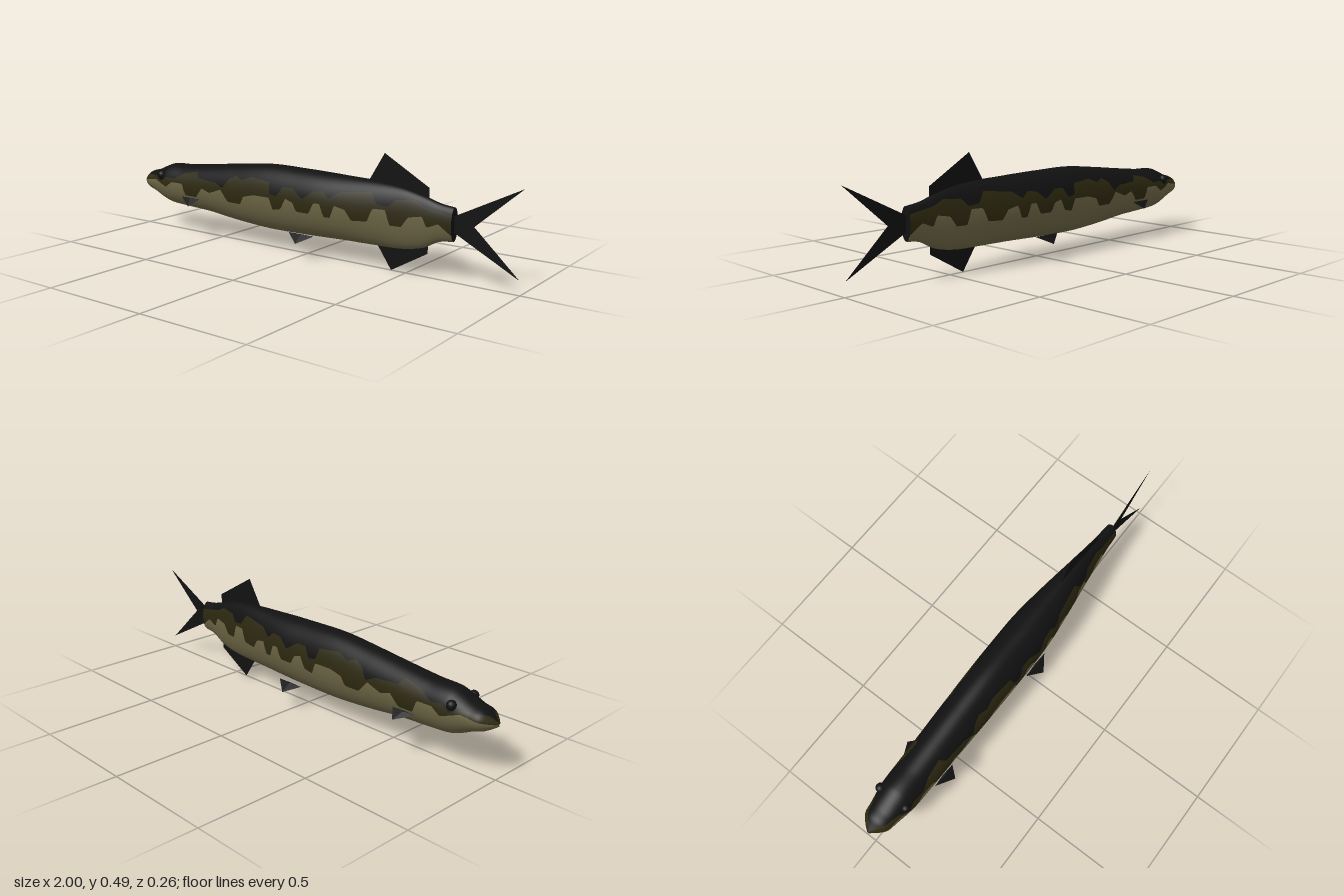
import * as THREE from 'three';
import { ConvexGeometry } from 'three/addons/geometries/ConvexGeometry.js';
import { ParametricGeometry } from 'three/addons/geometries/ParametricGeometry.js';

const X0 = -1, X1 = 0.715;

// Body outline stations: [x, top y, bottom y, half width]
const stations = [
  [-1, 0.231, 0.219, 0.004], [-0.975, 0.25, 0.202, 0.035], [-0.945, 0.271, 0.185, 0.06],
  [-0.9, 0.283, 0.169, 0.069], [-0.85, 0.304, 0.146, 0.078], [-0.8, 0.321, 0.13, 0.085],
  [-0.7, 0.326, 0.123, 0.088], [-0.55, 0.342, 0.115, 0.091], [-0.4, 0.36, 0.099, 0.095],
  [-0.2, 0.38, 0.086, 0.099], [0, 0.379, 0.088, 0.1], [0.1, 0.377, 0.091, 0.098],
  [0.2, 0.374, 0.094, 0.089], [0.35, 0.369, 0.096, 0.069], [0.48, 0.356, 0.1, 0.05],
  [0.58, 0.333, 0.12, 0.039], [0.65, 0.313, 0.155, 0.033], [0.715, 0.304, 0.166, 0.029],
];

// Lower edge of the dark back: [x, y]
const backEdge = [
  [-1, 0.245], [-0.95, 0.26], [-0.87, 0.262], [-0.83, 0.24], [-0.79, 0.267], [-0.74, 0.262],
  [-0.68, 0.294], [-0.6, 0.31], [-0.58, 0.283], [-0.47, 0.278], [-0.42, 0.257], [-0.39, 0.3],
  [-0.35, 0.32], [-0.31, 0.305], [-0.26, 0.326], [-0.15, 0.316], [-0.14, 0.267], [-0.1, 0.262],
  [-0.07, 0.305], [-0.02, 0.305], [0.04, 0.267], [0.09, 0.305], [0.14, 0.31], [0.17, 0.283],
  [0.22, 0.316], [0.36, 0.33], [0.39, 0.285], [0.44, 0.278], [0.47, 0.31], [0.55, 0.316],
  [0.6, 0.294], [0.72, 0.273],
];

// Upper edge of the pale belly: [x, y]
const bellyEdge = [
  [-1, 0.225], [-0.87, 0.246], [-0.79, 0.219], [-0.75, 0.246], [-0.68, 0.246], [-0.66, 0.193],
  [-0.59, 0.193], [-0.55, 0.24], [-0.5, 0.225], [-0.43, 0.25], [-0.385, 0.198], [-0.31, 0.198],
  [-0.29, 0.235], [-0.23, 0.25], [-0.14, 0.25], [-0.12, 0.198], [-0.075, 0.208], [-0.05, 0.257],
  [-0.01, 0.246], [0.01, 0.208], [0.075, 0.208], [0.1, 0.257], [0.13, 0.257], [0.15, 0.203],
  [0.18, 0.203], [0.2, 0.257], [0.25, 0.246], [0.28, 0.203], [0.35, 0.208], [0.375, 0.265],
  [0.43, 0.265], [0.45, 0.203], [0.5, 0.203], [0.53, 0.246], [0.59, 0.257], [0.61, 0.214],
  [0.66, 0.235], [0.72, 0.19],
];

// Interpolate column k of a table at x, straight or as a smooth cubic
function sample(table, x, k, smooth) {
  let i = 0;
  while (i < table.length - 2 && x > table[i + 1][0]) i++;
  const a = table[i], b = table[i + 1], h = b[0] - a[0];
  const t = THREE.MathUtils.clamp((x - a[0]) / h, 0, 1);
  if (!smooth) return a[k] + (b[k] - a[k]) * t;
  const slope = (j) => {
    const p = table[Math.max(j - 1, 0)], q = table[Math.min(j + 1, table.length - 1)];
    return (q[k] - p[k]) / (q[0] - p[0]);
  };
  const t2 = t * t, t3 = t2 * t;
  return a[k] * (2 * t3 - 3 * t2 + 1) + b[k] * (3 * t2 - 2 * t3)
    + h * (slope(i) * (t3 - 2 * t2 + t) + slope(i + 1) * (t3 - t2));
}

// Ellipse section of the body at x
function section(x) {
  const top = sample(stations, x, 1, true), bottom = sample(stations, x, 2, true);
  return { cy: (top + bottom) / 2, ry: (top - bottom) / 2, rz: sample(stations, x, 3, true) };
}

// Angles on the section where the two colour borders lie
function borders(x, s) {
  const angle = (y) => Math.asin(THREE.MathUtils.clamp((y - s.cy) / s.ry, -0.95, 0.95));
  const low = sample(bellyEdge, x, 1, false);
  const high = Math.max(sample(backEdge, x, 1, false), low + 0.012);
  return [angle(low), angle(high)];
}

// Strip of body skin between two angles that depend on the borders
function skin(range, around) {
  return new ParametricGeometry((u, v, target) => {
    const x = X0 + (X1 - X0) * u, s = section(x);
    const [from, to] = range(...borders(x, s));
    const t = from + (to - from) * v;
    target.set(x, s.cy + s.ry * Math.sin(t), s.rz * Math.cos(t));
  }, 240, around);
}

export function createModel() {
  const group = new THREE.Group();
  const material = (name, color, side = THREE.FrontSide) => {
    const m = new THREE.MeshStandardMaterial({ color, side });
    m.name = name;
    return m;
  };
  const black = material('blackBack', 0x111111, THREE.DoubleSide);
  const olive = material('oliveFlank', 0x2b270f);
  const tan = material('tanBelly', 0x686142);
  const add = (name, geometry, mat) => {
    const mesh = new THREE.Mesh(geometry, mat);
    mesh.name = name;
    group.add(mesh);
    return mesh;
  };

  // Body in three colour bands
  const PI = Math.PI;
  add('belly', skin((a) => [-PI - a, a], 28), tan);
  add('leftFlank', skin((a, b) => [a, b], 4), olive);
  add('rightFlank', skin((a, b) => [PI - b, PI - a], 4), olive);
  add('back', skin((a, b) => [b, PI - b], 20), black);

  // Flat end of the body at the tail
  const end = section(X1);
  const cap = add('tailCap', new THREE.CircleGeometry(1, 32), black);
  cap.rotation.y = PI / 2;
  cap.scale.set(end.rz, end.ry, 1);
  cap.position.set(X1, end.cy, 0);

  // Thin fins on the centre plane
  const fin = (name, points) => add(name,
    new THREE.ShapeGeometry(new THREE.Shape(points.map((p) => new THREE.Vector2(...p)))), black);
  fin('tailFin', [[0.7, 0.21], [0.995, 0.058], [0.8, 0.238], [1, 0.412], [0.7, 0.262]]);
  fin('dorsalFin', [[0.3, 0.34], [0.6, 0.3], [0.6, 0.368], [0.39, 0.487]]);
  fin('analFin', [[0.34, 0.13], [0.43, 0], [0.6, 0.098], [0.6, 0.15]]);

  // Paired fins: thin wedges with their tips out and down
  const pairs = [
    ['pectoralFin', -0.68, -0.565, -0.6, [0.186, 0.09], [0.155, 0.132]],
    ['pelvicFin', -0.04, 0.095, 0.03, [0.109, 0.087], [0.076, 0.132]],
  ];
  for (const [name, front, rear, tipX, [y, z], [tipY, tipZ]] of pairs) {
    for (const side of [1, -1]) {
      const mid = (front + rear) / 2;
      const geometry = new ConvexGeometry([
        [front, y, z], [rear, y, z], [mid, y + 0.001, z + 0.005], [mid, y - 0.001, z - 0.004],
        [tipX, tipY, tipZ],
      ].map((p) => new THREE.Vector3(p[0], p[1], p[2] * side)));
      add((side > 0 ? 'front' : 'rear') + 'Side_' + name, geometry, black);
    }
  }

  // Eyes
  for (const side of [1, -1]) {
    const eye = add('eye', new THREE.SphereGeometry(0.021, 16, 12), black);
    eye.position.set(-0.83, 0.27, 0.068 * side);
  }
  return group;
}
